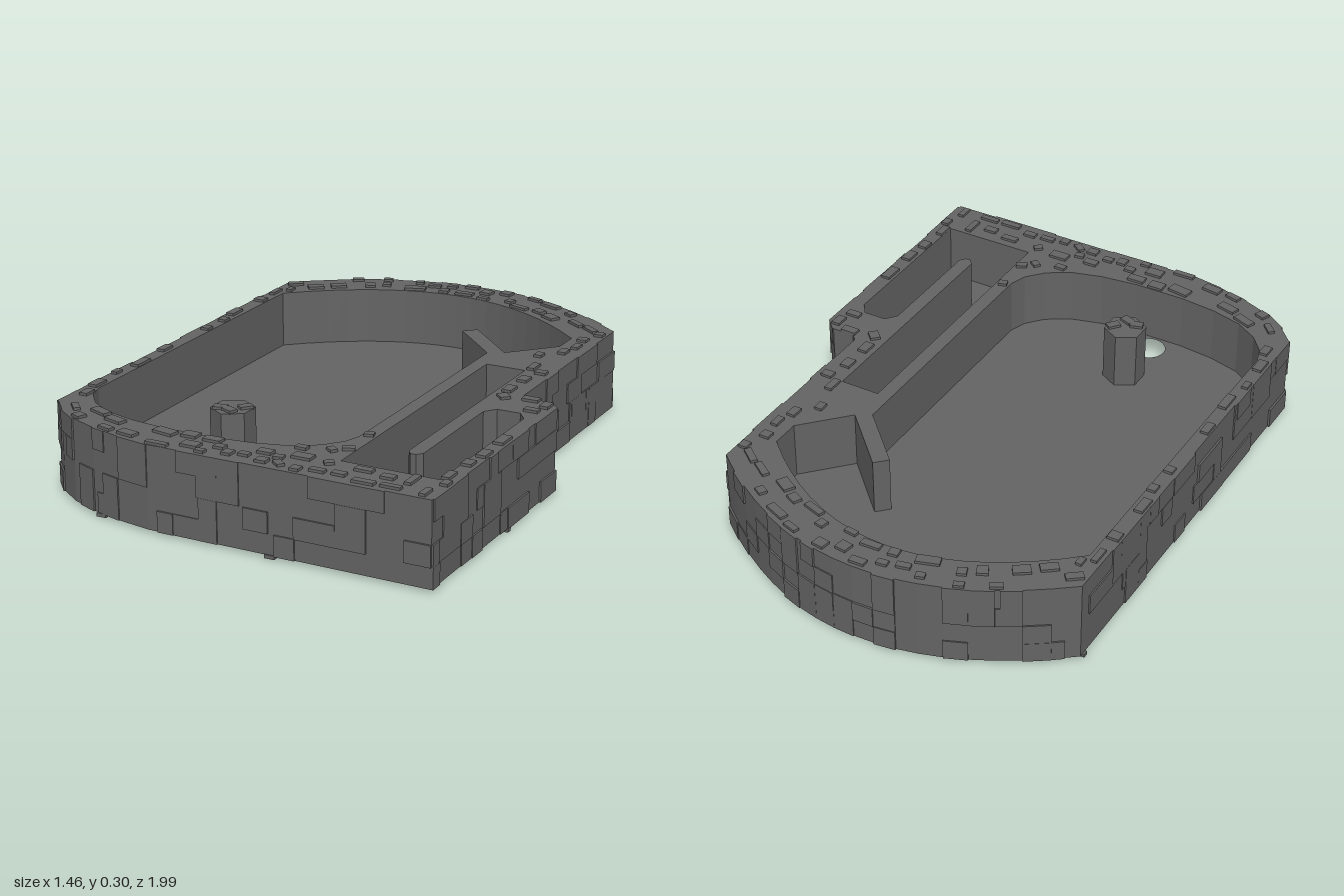
import * as THREE from 'three';
import { mergeGeometries } from 'three/addons/utils/BufferGeometryUtils.js';

const TOP = 0.29, BASE = 0.01, FLOOR = 0.09;

export function createModel() {
  const stone = new THREE.MeshStandardMaterial({ color: 0x646464, side: THREE.DoubleSide, flatShading: true });
  stone.name = 'grey stone';
  const model = new THREE.Group();
  model.name = 'stoneBasin';
  const add = (geometry, name) => {
    const mesh = new THREE.Mesh(geometry, stone);
    mesh.name = name;
    model.add(mesh);
    return mesh;
  };

  // Seeded random numbers for the brickwork
  let seed = 7;
  const rand = (a = 0, b = 1) => {
    seed = (seed * 16807) % 2147483647;
    return a + (b - a) * seed / 2147483647;
  };

  // Outlines are lists of [x, z]
  const arc = (cx, half, z, rise, n = 18) => Array.from({ length: n + 1 }, (_, i) => {
    const t = 2 * i / n - 1;
    return [cx + half * t, z - rise * (1 - t * t)];
  });
  const frontCurve = [[0.29, 0.62], [0.27, 0.68], [0.22, 0.74], [0.14, 0.79], [0.03, 0.82], [-0.1, 0.835], [-0.28, 0.835],
    [-0.41, 0.82], [-0.52, 0.79], [-0.6, 0.74], [-0.65, 0.68], [-0.67, 0.62]];
  const outer = [...arc(-0.07, 0.65, -0.72, 0.267), [0.58, 0.04], [0.6, 0.06], [0.68, 0.06], [0.72, 0.1], [0.72, 0.985],
    [-0.25, 0.985], [-0.37, 0.965], [-0.48, 0.935], [-0.58, 0.895], [-0.66, 0.84], [-0.715, 0.78]];
  const basin = [...arc(-0.095, 0.575, -0.58, 0.27), [0.48, -0.48], [0.34, -0.33], [0.15, -0.52], [0.11, -0.48],
    [0.29, -0.3], ...frontCurve];
  const lane = [[0.34, -0.19], [0.48, -0.19], [0.48, 0.66], [0.495, 0.68], [0.515, 0.68], [0.53, 0.66], [0.53, 0.24],
    [0.56, 0.2], [0.64, 0.2], [0.67, 0.24], [0.67, 0.83], [0.34, 0.83]];
  const floorOutline = [...arc(-0.095, 0.575, -0.58, 0.27), [0.48, 0.2], [0.67, 0.2], [0.67, 0.83], [0.03, 0.83],
    ...frontCurve.slice(5)];

  const toPoints = (list) => list.map(([x, z]) => new THREE.Vector2(x, -z));
  const flat = (outline, holes, y) => {
    const shape = new THREE.Shape(toPoints(outline));
    shape.holes = holes.map((h) => new THREE.Path(toPoints(h)));
    return new THREE.ShapeGeometry(shape).rotateX(-Math.PI / 2).translate(0, y, 0);
  };
  // Upright band following a closed outline
  const band = (outline, y0, y1) => {
    const pos = [];
    outline.forEach(([x, z], i) => {
      const [u, w] = outline[(i + 1) % outline.length];
      pos.push(x, y0, z, x, y1, z, u, y1, w, x, y0, z, u, y1, w, u, y0, w);
    });
    const g = new THREE.BufferGeometry();
    g.setAttribute('position', new THREE.Float32BufferAttribute(pos, 3));
    g.computeVertexNormals();
    return g;
  };

  // Shell: outer wall, rim, inner walls and floor with a drain
  const drain = Array.from({ length: 24 }, (_, i) => {
    const a = i / 24 * Math.PI * 2;
    return [-0.19 + 0.06 * Math.cos(a), 0.765 + 0.06 * Math.sin(a)];
  });
  // Wind the walls so that their fronts face away from the stone
  add(band([...outer].reverse(), BASE, TOP), 'outerWall');
  add(flat(outer, [basin, lane], TOP), 'rim');
  add(band(basin, FLOOR, TOP), 'basinWall');
  add(band(lane, FLOOR, TOP), 'laneWall');
  add(flat(floorOutline, [drain], FLOOR), 'floor');

  // Six-sided post beside the drain, with small stones on top
  const post = add(new THREE.CylinderGeometry(0.073, 0.073, 0.2, 6), 'post');
  post.position.set(-0.19, FLOOR + 0.1, 0.573);
  for (const [x, z, turn] of [[-0.22, 0.6, 0.3], [-0.15, 0.56, 0.9], [-0.18, 0.61, -0.4]]) {
    const chip = add(new THREE.BoxGeometry(0.045, 0.012, 0.03), 'postStone');
    chip.position.set(x, 0.293, z);
    chip.rotation.y = turn;
  }

  // Raised stones on the outer wall, in four courses
  const wallStones = [], rimStones = [];
  const course = 0.07;
  outer.forEach(([x, z], i) => {
    const [u, w] = outer[(i + 1) % outer.length];
    const length = Math.hypot(u - x, w - z);
    if (length < 0.05) return;
    const turn = Math.atan2(-(w - z), u - x);
    for (let row = 0; row < 4; row++) {
      let at = 0;
      while (at < length - 0.02) {
        const size = Math.min(rand(0.05, 0.17), length - at);
        if (rand() < 0.45) {
          const rows = row < 3 && rand() < 0.3 ? 2 : 1;
          const t = (at + size / 2) / length;
          wallStones.push(new THREE.BoxGeometry(size, course * rows, rand(0.006, 0.014)).rotateY(turn)
            .translate(x + (u - x) * t, BASE + course * (row + rows / 2), z + (w - z) * t));
        }
        at += size;
      }
    }
  });

  // Raised stones on the rim, kept clear of the openings
  const inside = (list, px, pz) => {
    let hit = false;
    list.forEach(([x, z], i) => {
      const [u, w] = list[(i + 1) % list.length];
      if ((z > pz) !== (w > pz) && px < (u - x) * (pz - z) / (w - z) + x) hit = !hit;
    });
    return hit;
  };
  const onRim = (x, z) => inside(outer, x, z) && !inside(basin, x, z) && !inside(lane, x, z);
  const placed = [];
  const tryStone = (x, z, turn, long, wide) => {
    const c = Math.cos(turn), s = Math.sin(turn);
    for (const i of [-0.5, 0, 0.5]) for (const j of [-0.5, 0.5]) {
      const a = i * long, b = j * wide;
      if (!onRim(x + a * c + b * s, z - a * s + b * c)) return;
    }
    const r = (long + wide) * 0.4;
    if (placed.some(([px, pz, pr]) => Math.hypot(px - x, pz - z) < pr + r)) return;
    placed.push([x, z, r]);
    rimStones.push(new THREE.BoxGeometry(long, 0.018, wide).rotateY(turn).translate(x, TOP, z));
  };
  outer.forEach(([x, z], i) => {
    const [u, w] = outer[(i + 1) % outer.length];
    const length = Math.hypot(u - x, w - z);
    const turn = Math.atan2(-(w - z), u - x);
    for (let k = 0; k < length * 90; k++) {
      const t = rand(), inset = rand(0.01, 0.13);
      tryStone(x + (u - x) * t - (w - z) / length * inset, z + (w - z) * t + (u - x) / length * inset,
        turn, rand(0.03, 0.08), rand(0.02, 0.04));
    }
  });
  // Loose stones at the front of the divider
  for (let k = 0; k < 150; k++) tryStone(rand(0.12, 0.34), rand(0.6, 0.95), rand(-0.8, 0.8), rand(0.03, 0.05), 0.025);
  add(mergeGeometries(wallStones), 'wallStones');
  add(mergeGeometries(rimStones), 'rimStones');

  // Small feet under the wall
  for (const [x, z] of [[-0.45, 0.94], [0.18, 0.98], [0.71, 0.46], [-0.71, -0.7]]) {
    add(new THREE.BoxGeometry(0.035, 0.012, 0.02), 'foot').position.set(x, 0.006, z);
  }
  return model;
}
